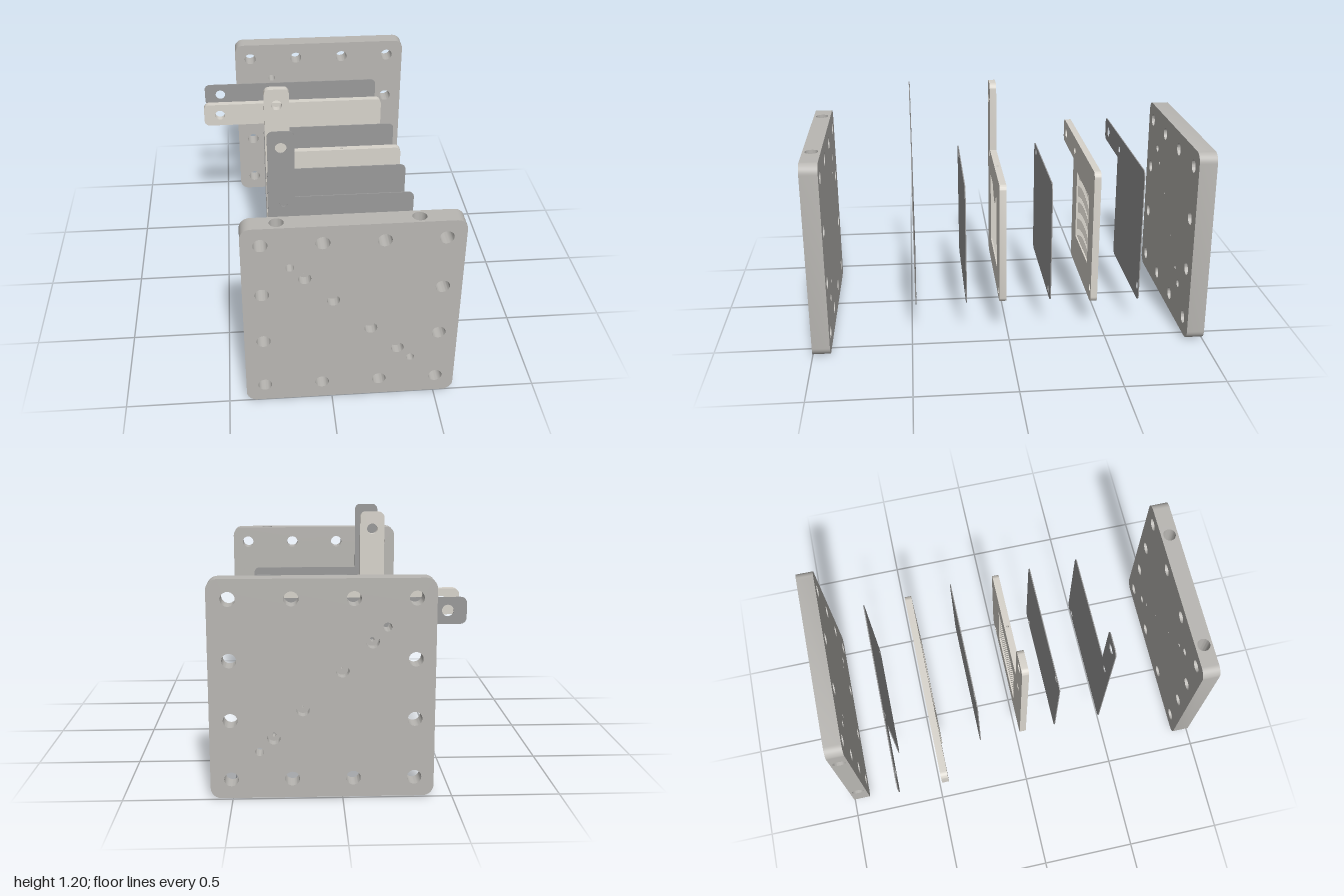
import * as THREE from 'three';
import { mergeGeometries, toCreasedNormals } from 'three/addons/utils/BufferGeometryUtils.js';

const mat = color => new THREE.MeshStandardMaterial({ color });
const plateMat = mat(0xb9b7b3), spacerMat = mat(0xd8d4cc), sheetMat = mat(0x9a9a9a);

// Counter-clockwise polygon of [x, y, radius] corners, with rounded corners
function rounded(corners) {
  const pts = [], n = corners.length;
  corners.forEach(([x, y, r], i) => {
    const c = new THREE.Vector2(x, y);
    if (!r) return pts.push(c);
    const [px, py] = corners[(i + n - 1) % n], [nx, ny] = corners[(i + 1) % n];
    const u = new THREE.Vector2(px - x, py - y).normalize();
    const v = new THREE.Vector2(nx - x, ny - y).normalize();
    const centre = c.clone().addScaledVector(u, r).addScaledVector(v, r);
    for (let k = 0; k <= 8; k++) {
      const a = (k / 8) * Math.PI / 2;
      pts.push(centre.clone().addScaledVector(v, -r * Math.cos(a)).addScaledVector(u, -r * Math.sin(a)));
    }
  });
  return pts;
}

const plain = g => {
  const out = g.index ? g.toNonIndexed() : g;
  out.deleteAttribute('uv');
  out.deleteAttribute('normal');
  return out;
};

// Reverse the winding of every triangle
function flip(g) {
  const p = g.attributes.position, a = new THREE.Vector3(), b = new THREE.Vector3();
  for (let i = 0; i < p.count; i += 3) {
    a.fromBufferAttribute(p, i);
    b.fromBufferAttribute(p, i + 1);
    p.setXYZ(i, b.x, b.y, b.z).setXYZ(i + 1, a.x, a.y, a.z);
  }
  return g;
}

const circle = (x, y, r) => new THREE.Path().absarc(x, y, r, 0, Math.PI * 2, true);

// Inward-facing wall of a round hole along z
const bore = (x, y, r, z0, z1) => flip(plain(
  new THREE.CylinderGeometry(r, r, z1 - z0, 32, 1, true).rotateX(Math.PI / 2).translate(x, y, (z0 + z1) / 2)));

function cap(pts, holes, window, z) {
  const shape = new THREE.Shape(pts);
  shape.holes = holes.map(([x, y, r]) => circle(x, y, r));
  if (window) shape.holes.push(new THREE.Path(window));
  return plain(new THREE.ShapeGeometry(shape, 16).translate(0, 0, z));
}

// Edge walls along a closed outline; ports [x, y, radius, depth] are drilled into the edge
function walls(pts, t, ports = []) {
  const parts = [];
  pts.forEach((a, i) => {
    const b = pts[(i + 1) % pts.length], len = a.distanceTo(b);
    if (len < 1e-6) return;
    const d = b.clone().sub(a).divideScalar(len);
    const rect = new THREE.Shape([[0, 0], [len, 0], [len, t], [0, t]].map(p => new THREE.Vector2(...p)));
    const local = [];
    for (const [x, y, r, depth] of ports) {
      const q = new THREE.Vector2(x, y).sub(a), s = q.dot(d);
      if (Math.abs(q.cross(d)) > 1e-4 || s < r || s > len - r) continue;
      rect.holes.push(circle(s, t / 2, r));
      local.push(bore(s, t / 2, r, -depth, 0),
        plain(new THREE.CircleGeometry(r, 32).translate(s, t / 2, -depth)));
    }
    local.push(plain(new THREE.ShapeGeometry(rect, 16)));
    const m = new THREE.Matrix4().makeBasis(new THREE.Vector3(d.x, d.y, 0),
      new THREE.Vector3(0, 0, 1), new THREE.Vector3(d.y, -d.x, 0)).setPosition(a.x, a.y, 0);
    parts.push(...local.map(g => g.applyMatrix4(m)));
  });
  return parts;
}

// Flat slab from z to z + t; stepped holes are [x, y, outerRadius, innerRadius]
function slab(name, material, corners, z, t, { holes = [], stepped = [], ports, window } = {}) {
  const pts = rounded(corners), step = t * 0.45;
  const parts = [
    cap(pts, [...holes, ...stepped], window, t),
    flip(cap(pts, [...holes, ...stepped.map(([x, y, , r]) => [x, y, r])], window, 0)),
    ...walls(pts, t, ports),
    ...holes.map(([x, y, r]) => bore(x, y, r, 0, t)),
  ];
  if (window) parts.push(...walls(window, t));
  for (const [x, y, R, r] of stepped) {
    parts.push(bore(x, y, R, step, t), bore(x, y, r, 0, step),
      plain(new THREE.RingGeometry(r, R, 32).translate(x, y, step)));
  }
  const mesh = new THREE.Mesh(toCreasedNormals(mergeGeometries(parts), 0.6), material);
  mesh.name = name;
  mesh.position.z = z;
  return mesh;
}

// Shared layout
const flowHoles = [[-0.196, 0.797, 0.02], [0.376, 0.225, 0.02]];
const tabHoles = [...flowHoles, [-0.205, 1.11, 0.028]];
const R = 0.03;
const body = [[-0.27, 0.19, R], [0.45, 0.19, R], [0.45, 0.83, R], [-0.27, 0.83, R]];
const tabbed = [[-0.27, 0.19, R], [0.45, 0.19, R], [0.45, 0.83, R],
  [-0.14, 0.83, 0], [-0.14, 1.2, R], [-0.27, 1.2, R]];

// Thick end plate with bolt holes, fitting holes on the diagonal and two edge ports
function endPlate(name) {
  const grid = [0, 1, 2, 3], holes = [...flowHoles];
  for (const i of grid) for (const j of grid) {
    if (i % 3 === 0 || j % 3 === 0) holes.push([-0.325 + i * 0.2767, 0.095 + j * 0.2767, 0.033]);
  }
  const c = 0.05;
  return slab(name, plateMat,
    [[-0.415, 0, c], [0.595, 0, c], [0.595, 1.015, c], [-0.415, 1.015, c]], 0.91, 0.09, {
      holes,
      stepped: [[-0.13, 0.732, 0.03, 0.01], [0.002, 0.598, 0.03, 0.005],
        [0.18, 0.421, 0.03, 0.004], [0.311, 0.289, 0.03, 0.01]],
      ports: [[-0.25, 1.015, 0.033, 0.15], [0.385, 1.015, 0.033, 0.15]],
    });
}

// Tabbed spacer frame with a netting-filled window
function spacer(name, z) {
  const g = new THREE.Group(), t = 0.035, cx = 0.09, cy = 0.51, h = 0.19;
  g.name = name;
  const window = [[-h, -h], [-h, h], [h, h], [h, -h]].map(([x, y]) => new THREE.Vector2(cx + x, cy + y));
  g.add(slab(name + 'Frame', spacerMat, tabbed, z, t,
    { holes: tabHoles, ports: [[0.135, 0.83, 0.007, 0.1]], window }));
  for (let i = 1; i < 12; i++) {
    const o = -h + (i / 12) * 2 * h;
    for (const upright of [true, false]) {
      const bar = new THREE.Mesh(
        new THREE.BoxGeometry(upright ? 0.01 : 2 * h, upright ? 2 * h : 0.01, 0.012), spacerMat);
      bar.name = 'nettingStrand';
      bar.position.set(cx + (upright ? o : 0), cy + (upright ? 0 : o), z + t / 2 + (upright ? 0.005 : -0.005));
      g.add(bar);
    }
  }
  return g;
}

export function createModel() {
  const model = new THREE.Group();
  model.name = 'explodedCellStack';
  const thin = 0.005;

  // Front half, and the two plain membranes
  model.add(
    endPlate('frontEndPlate'),
    slab('frontElectrode', sheetMat, tabbed, 0.473, thin, { holes: tabHoles }),
    slab('frontMembrane', sheetMat, body, 0.213, thin, { holes: flowHoles }),
    spacer('middleSpacer', 0.01),
    slab('backMembrane', sheetMat, body, -0.222, thin, { holes: flowHoles }));

  // Back half: the same parts turned over about the diagonal, so the tabs point sideways
  const back = new THREE.Group();
  back.name = 'backHalf';
  back.quaternion.setFromAxisAngle(new THREE.Vector3(1, -1, 0).normalize(), Math.PI);
  back.position.set(0.6, 0.6, 0);
  back.add(
    endPlate('backEndPlate'),
    slab('backElectrode', sheetMat, tabbed, 0.69, thin, { holes: tabHoles }),
    spacer('backSpacer', 0.437));
  model.add(back);
  return model;
}
